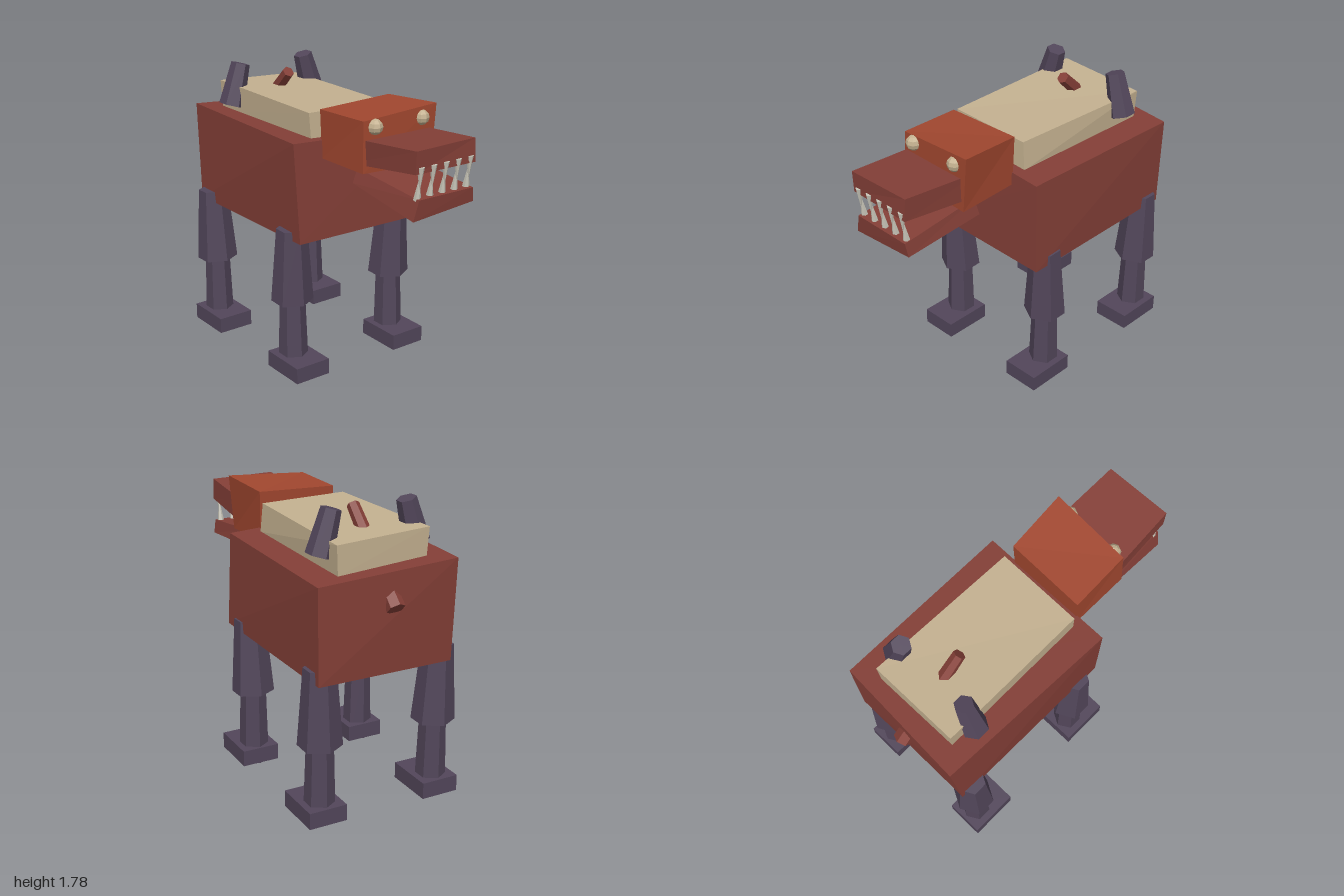
import * as THREE from 'three';

const mat = (name, color) => {
  const m = new THREE.MeshStandardMaterial({ color, flatShading: true });
  m.name = name;
  return m;
};

export function createModel() {
  const root = new THREE.Group();
  root.name = 'beast';
  const hide = mat('reddish brown hide', 0x843f37);
  const rust = mat('rust orange', 0xa1472f);
  const tan = mat('tan', 0xc4b190);
  const plum = mat('dark plum', 0x52465a);
  const ivory = mat('ivory grey', 0xc6c3b6);

  const add = (name, geo, material, parent = root) => {
    const mesh = new THREE.Mesh(geo, material);
    mesh.name = name;
    parent.add(mesh);
    return mesh;
  };

  // Skewed block: eight corners, x changing first, then y, then z (back to front)
  const block = (name, corners, material) => {
    const geo = new THREE.BoxGeometry(1, 1, 1);
    const p = geo.attributes.position;
    for (let i = 0; i < p.count; i++) {
      const k = (p.getX(i) > 0 ? 1 : 0) + (p.getY(i) > 0 ? 2 : 0) + (p.getZ(i) > 0 ? 4 : 0);
      p.setXYZ(i, ...corners[k]);
    }
    const flat = geo.toNonIndexed();
    flat.computeVertexNormals();
    return add(name, flat, material);
  };

  // Tapered rod running from point a to point b
  const rod = (name, a, b, ra, rb, sides, material, parent = root) => {
    const from = new THREE.Vector3(...a), to = new THREE.Vector3(...b);
    const dir = to.clone().sub(from);
    const mesh = add(name, new THREE.CylinderGeometry(rb, ra, dir.length(), sides), material, parent);
    mesh.position.copy(from).add(to).multiplyScalar(0.5);
    mesh.quaternion.setFromUnitVectors(new THREE.Vector3(0, 1, 0), dir.normalize());
    return mesh;
  };

  // Body and the plate on its back
  block('body', [
    [-0.41, 0.86, -0.91], [0.44, 0.86, -0.91], [-0.4, 1.48, -0.955], [0.45, 1.425, -0.915],
    [-0.425, 0.88, 0.22], [0.455, 0.868, 0.225], [-0.45, 1.49, 0.2], [0.435, 1.44, 0.215],
  ], hide);
  block('backPlate', [
    [-0.28, 1.43, -0.82], [0.28, 1.435, -0.825], [-0.29, 1.64, -0.83], [0.29, 1.61, -0.83],
    [-0.28, 1.43, 0.14], [0.27, 1.445, 0.14], [-0.29, 1.63, 0.13], [0.255, 1.62, 0.135],
  ], tan);

  // Head and open jaws
  block('head', [
    [-0.25, 1.37, 0.2], [0.24, 1.37, 0.205], [-0.255, 1.66, 0.19], [0.245, 1.675, 0.195],
    [-0.255, 1.375, 0.585], [0.24, 1.355, 0.59], [-0.245, 1.67, 0.575], [0.27, 1.7, 0.59],
  ], rust);
  block('upperJaw', [
    [-0.235, 1.4, 0.45], [0.23, 1.4, 0.45], [-0.24, 1.55, 0.45], [0.225, 1.55, 0.45],
    [-0.215, 1.465, 0.98], [0.21, 1.46, 0.985], [-0.215, 1.595, 0.985], [0.21, 1.595, 0.975],
  ], hide);
  block('lowerJaw', [
    [-0.22, 1.28, 0.45], [0.215, 1.265, 0.445], [-0.19, 1.365, 0.455], [0.19, 1.365, 0.46],
    [-0.22, 1.2, 0.975], [0.215, 1.23, 0.975], [-0.19, 1.32, 0.985], [0.2, 1.315, 0.985],
  ], hide);

  // Teeth along the front of both jaws
  for (let i = -2; i <= 2; i++) {
    const x = i * 0.088;
    rod('upperTooth', [x, 1.5, 0.975], [x, 1.37, 0.97], 0.022, 0.001, 6, ivory);
    rod('lowerTooth', [x, 1.31, 0.95], [x, 1.45, 0.97], 0.022, 0.001, 6, ivory);
  }

  for (const side of [-1, 1]) {
    const sideName = side > 0 ? 'left' : 'right';
    // Eyes
    add(sideName + 'Eye', new THREE.SphereGeometry(0.046, 8, 6), tan)
      .position.set(side * 0.168, 1.63, 0.58);
    // Leaning pegs on the back
    rod(sideName + 'Horn', [side * 0.31, 1.515, -0.67], [side * 0.237, 1.77, -0.67], 0.08, 0.058, 6, plum);

    // Legs, each with thigh, shin and foot
    for (const front of [true, false]) {
      const leg = new THREE.Group();
      leg.name = sideName + (front ? 'FrontLeg' : 'RearLeg');
      leg.position.set(side * 0.375, 0, front ? 0.06 : -0.805);
      root.add(leg);
      const lean = front ? 0.015 : -0.01;
      rod('thigh', [0, 0.465, 0], [side * 0.008, 0.935, lean], 0.122, 0.088, 6, plum, leg).scale.x = 1.08;
      rod('shin', [0, 0, 0.005], [0, 0.5, 0], 0.093, 0.078, 6, plum, leg);
      const foot = add('foot', new THREE.BoxGeometry(0.236, 0.1, 0.31), plum, leg);
      foot.position.set(0, 0.06, front ? 0.055 : 0.05);
    }
  }

  // Tail rod passing down through the back and out of the rear
  rod('tail', [-0.003, 1.25, -0.962], [-0.008, 1.72, -0.478], 0.054, 0.037, 6, hide);

  return root;
}
